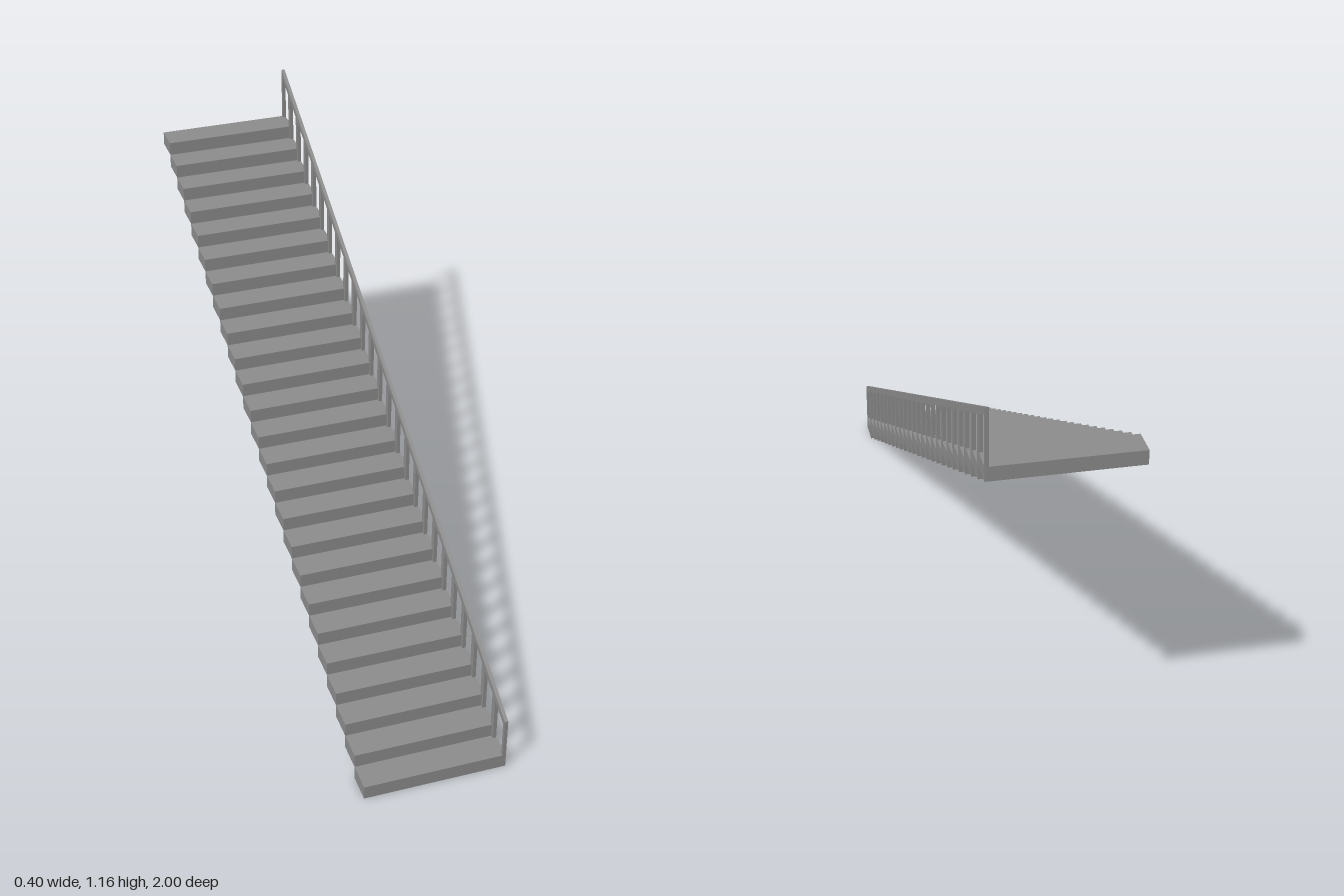
import * as THREE from 'three';

const STEPS = 25, RISE = 0.04, RUN = 0.08, WIDTH = 0.4;
const RAIL_W = 0.01, RAIL_H = 0.02, POST_D = 0.01;
const RAIL_X = WIDTH / 2 - RAIL_W / 2;

// Height of the handrail's top edge at a given z
const railTop = (z) => 0.16 + (1 - z) * (RISE / RUN);

export function createModel() {
  const group = new THREE.Group();
  const grey = new THREE.MeshStandardMaterial({ color: 0x8b8c8b });
  grey.name = 'concrete grey';

  function box(name, w, h, d, x, y, z) {
    const mesh = new THREE.Mesh(new THREE.BoxGeometry(w, h, d), grey);
    mesh.name = name;
    mesh.position.set(x, y, z);
    group.add(mesh);
  }

  for (let i = 0; i < STEPS; i++) {
    // Solid step, climbing towards the back
    const z = 1 - (i + 0.5) * RUN;
    const top = (i + 1) * RISE;
    box('step', WIDTH, RISE, RUN, 0, top - RISE / 2, z);

    // A slim post at the front and back of each tread; neighbours pair up
    for (const side of [1, -1]) {
      const pz = z + side * (RUN - POST_D) / 2;
      const h = railTop(pz) - RAIL_H / 2 - top;
      box('baluster', RAIL_W, h, POST_D, RAIL_X, top + h / 2, pz);
    }
  }

  // Sloping handrail with plumb-cut ends, drawn in (-z, y) and turned to run along z
  const profile = new THREE.Shape([
    new THREE.Vector2(-1, railTop(1) - RAIL_H),
    new THREE.Vector2(1, railTop(-1) - RAIL_H),
    new THREE.Vector2(1, railTop(-1)),
    new THREE.Vector2(-1, railTop(1)),
  ]);
  const railGeometry = new THREE.ExtrudeGeometry(profile, { depth: RAIL_W, bevelEnabled: false });
  railGeometry.rotateY(Math.PI / 2);
  const rail = new THREE.Mesh(railGeometry, grey);
  rail.name = 'handrail';
  rail.position.x = WIDTH / 2 - RAIL_W;
  group.add(rail);

  return group;
}
